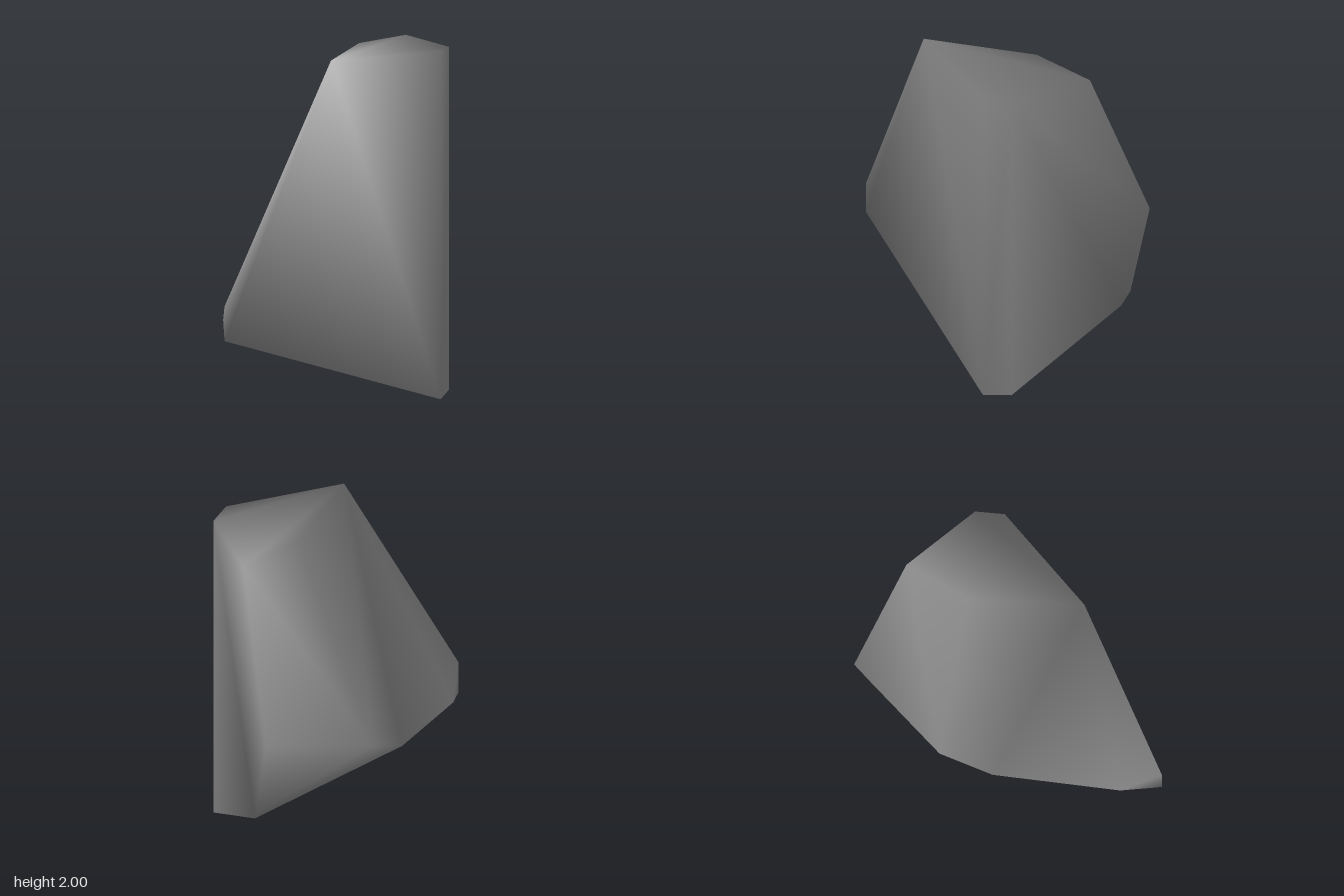
import * as THREE from 'three';
import { ConvexGeometry } from 'three/addons/geometries/ConvexGeometry.js';
import { mergeVertices } from 'three/addons/utils/BufferGeometryUtils.js';

// Height of the slanted underside at a given x, z
const under = (x, z) => 0.03 - 0.314 * (x - 0.76) - 0.553 * (z - 0.385);
const onUnderside = (x, z) => new THREE.Vector3(x, Math.max(0, under(x, z)), z);

export function createModel() {
  const group = new THREE.Group();
  group.name = 'rock';
  const stone = new THREE.MeshStandardMaterial({ color: 0x868686 });
  stone.name = 'stone grey';

  const v = (x, y, z) => new THREE.Vector3(x, y, z);
  const corners = [
    // flat top
    v(-0.07, 2, 0.505), v(0.64, 2, 0.505), v(0.76, 2, 0.385), v(0.76, 2, -0.12), v(0.38, 2, 0.02),
    // bulging back and the left tip
    v(0.76, 1.02, -0.505), v(0.76, 0.5, -0.38), v(0.09, 0.83, -0.43), v(-0.76, 0.64, 0.505),
    // rim of the slanted underside
    ...[[0.64, 0.505], [0.76, 0.385], [0.76, -0.32], [-0.155, -0.24], [-0.65, 0.29], [-0.76, 0.505]]
      .map(([x, z]) => onUnderside(x, z)),
  ];

  // Faceted hull with shared corners, so the shading is smooth
  let geometry = new ConvexGeometry(corners);
  geometry.deleteAttribute('normal');
  geometry = mergeVertices(geometry, 1e-4);
  geometry.computeVertexNormals();

  const boulder = new THREE.Mesh(geometry, stone);
  boulder.name = 'boulder';
  group.add(boulder);
  return group;
}
